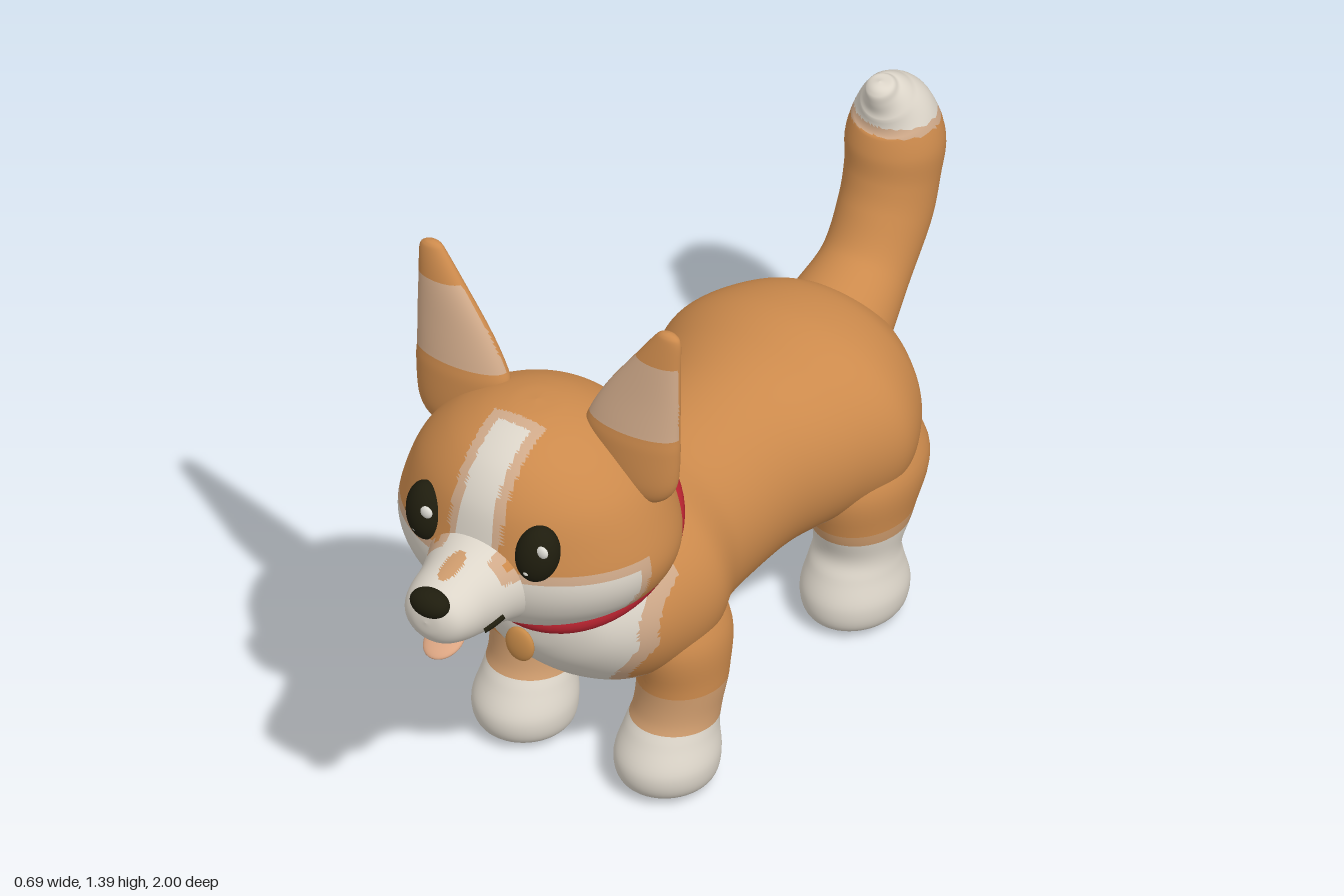
import * as THREE from 'three';

const mat = (name, color, side = THREE.FrontSide) => {
  const m = new THREE.MeshStandardMaterial({ color, side });
  m.name = name;
  return m;
};

const Y = new THREE.Vector3(0, 1, 0);
const Z = new THREE.Vector3(0, 0, 1);
const X = new THREE.Vector3(1, 0, 0);

// Smooth loft through elliptical sections [x, y, z, sideRadius, otherRadius].
// Rings face a fixed axis, or follow the path when axis is null.
function loft(sections, axis, rings, sides) {
  const centres = new THREE.CatmullRomCurve3(sections.map(s => new THREE.Vector3(s[0], s[1], s[2])), false, 'catmullrom');
  const radii = new THREE.CatmullRomCurve3(sections.map(s => new THREE.Vector3(s[3], s[4], 0)), false, 'catmullrom');
  const pos = [], index = [];
  for (let i = 0; i <= rings; i++) {
    const u = i / rings, c = centres.getPoint(u), r = radii.getPoint(u);
    const other = (axis || centres.getTangent(u)).clone().cross(X).normalize();
    for (let j = 0; j < sides; j++) {
      const a = j / sides * Math.PI * 2;
      const p = c.clone().addScaledVector(X, Math.max(r.x, 0) * Math.cos(a))
        .addScaledVector(other, Math.max(r.y, 0) * Math.sin(a));
      pos.push(p.x, p.y, p.z);
      if (i < rings) {
        const k = i * sides + j, n = i * sides + (j + 1) % sides;
        index.push(k, n, k + sides, n, n + sides, k + sides);
      }
    }
  }
  const g = new THREE.BufferGeometry();
  g.setAttribute('position', new THREE.Float32BufferAttribute(pos, 3));
  g.setIndex(index);
  g.computeVertexNormals();
  return g;
}

// Sort faces into material groups; rule(x, y, z) gives the material number.
function paint(g, count, rule) {
  const idx = g.index.array, p = g.attributes.position;
  const lists = Array.from({ length: count }, () => []);
  for (let i = 0; i < idx.length; i += 3) {
    const t = [idx[i], idx[i + 1], idx[i + 2]];
    const mid = f => (p[f](t[0]) + p[f](t[1]) + p[f](t[2])) / 3;
    lists[rule(mid('getX'), mid('getY'), mid('getZ'))].push(...t);
  }
  g.setIndex(lists.flat());
  let start = 0;
  lists.forEach((l, m) => {
    if (l.length) g.addGroup(start, l.length, m);
    start += l.length;
  });
  return g;
}

export function createModel() {
  const model = new THREE.Group();
  model.name = 'dog';
  const orange = mat('orange fur', 0xcc8a4c);
  const white = mat('white fur', 0xdcd5c9);
  const pale = mat('pale fur edge', 0xd0aa8a);
  const tan = mat('tan fur', 0xcc9a6c);
  const black = mat('black', 0x1f1d0e);
  const red = mat('red collar', 0xb3222e);
  const pink = mat('tongue', 0xdba582);
  const gold = mat('tag', 0xc78a48);
  const shine = mat('eye shine', 0xdedcd4);
  const fur = [orange, white, pale, tan];
  const edge = (d, w) => d < 0 ? 1 : d < w ? 2 : 0;

  const add = (name, geometry, material, parent = model) => {
    const m = new THREE.Mesh(geometry, material);
    m.name = name;
    parent.add(m);
    return m;
  };
  const ball = (name, material, c, r, parent) => {
    const m = add(name, new THREE.SphereGeometry(1, 32, 24), material, parent);
    m.position.set(...c);
    m.scale.set(...r);
    return m;
  };

  // Torso and neck share a white bib; the torso also has a white belly
  const bib = (x, y, z) => Math.max(Math.abs(x) - Math.min(0.22, 0.08 + Math.max(0, y - 0.27) * 0.7), 0.38 - z);
  const torso = loft([
    [0, 0.5, -0.745, 0, 0], [0, 0.495, -0.735, 0.07, 0.06], [0, 0.49, -0.71, 0.135, 0.12], [0, 0.485, -0.66, 0.205, 0.18],
    [0, 0.485, -0.58, 0.275, 0.235], [0, 0.49, -0.46, 0.322, 0.255], [0, 0.495, -0.33, 0.285, 0.243],
    [0, 0.495, -0.2, 0.243, 0.235], [0, 0.495, -0.05, 0.235, 0.232], [0, 0.497, 0.1, 0.245, 0.235],
    [0, 0.505, 0.24, 0.293, 0.25], [0, 0.505, 0.36, 0.275, 0.24], [0, 0.505, 0.45, 0.235, 0.19],
    [0, 0.505, 0.52, 0.165, 0.12], [0, 0.505, 0.552, 0.08, 0.06], [0, 0.505, 0.56, 0, 0],
  ], Z, 150, 108);
  add('torso', paint(torso, 4, (x, y, z) =>
    edge(Math.min(bib(x, y, z), Math.max(y - 0.31, -0.52 - z, Math.abs(x) - 0.22)), 0.028)), fur);
  add('neck', paint(loft([
    [0, 0.46, 0.27, 0.15, 0.15], [0, 0.54, 0.315, 0.235, 0.235], [0, 0.66, 0.385, 0.22, 0.225],
    [0, 0.75, 0.435, 0.225, 0.225], [0, 0.84, 0.48, 0.2, 0.2],
  ], null, 50, 80), 4, (x, y, z) => edge(bib(x, y, z), 0.028)), fur);

  // Legs: upper part flows into the body, rounded paws reach forward
  const front = [
    [0.185, 0, 0.3, 0, 0], [0.185, 0.004, 0.3, 0.06, 0.065], [0.186, 0.03, 0.302, 0.105, 0.112],
    [0.187, 0.085, 0.302, 0.117, 0.123], [0.187, 0.15, 0.285, 0.104, 0.108], [0.19, 0.2, 0.265, 0.097, 0.102],
    [0.193, 0.28, 0.25, 0.1, 0.112], [0.185, 0.4, 0.25, 0.105, 0.13], [0.16, 0.52, 0.25, 0.06, 0.08], [0.15, 0.56, 0.25, 0, 0],
  ];
  const hind = [
    [0.19, 0, -0.44, 0, 0], [0.19, 0.004, -0.44, 0.06, 0.07], [0.19, 0.03, -0.44, 0.105, 0.118],
    [0.19, 0.085, -0.442, 0.118, 0.13], [0.19, 0.15, -0.445, 0.104, 0.11], [0.192, 0.2, -0.45, 0.098, 0.098],
    [0.195, 0.28, -0.465, 0.11, 0.135], [0.19, 0.4, -0.485, 0.125, 0.17], [0.16, 0.52, -0.49, 0.08, 0.1], [0.14, 0.57, -0.49, 0, 0],
  ];
  const mirrored = (sections, s) => sections.map(([x, ...rest]) => [x * s, ...rest]);
  for (const [s, side] of [[1, 'left'], [-1, 'right']]) {
    add(side + 'FrontLeg', paint(loft(mirrored(front, s), Y, 60, 48), 4,
      (x, y) => y < 0.175 ? 1 : y < 0.27 ? 3 : 0), fur);
    add(side + 'HindLeg', paint(loft(mirrored(hind, s), Y, 60, 48), 4,
      (x, y) => y < 0.255 ? 1 : y < 0.28 ? 3 : 0), fur);
  }

  // Tail with a white tip
  add('tail', paint(loft([
    [0, 0.53, -0.56, 0.14, 0.14], [0, 0.59, -0.67, 0.125, 0.12], [0, 0.665, -0.775, 0.105, 0.1],
    [0, 0.77, -0.85, 0.106, 0.106], [0, 0.86, -0.88, 0.108, 0.105], [0, 0.945, -0.892, 0.113, 0.108],
    [0, 1.02, -0.885, 0.094, 0.09], [0, 1.07, -0.86, 0.064, 0.062], [0, 1.098, -0.84, 0.04, 0.042],
    [0, 1.12, -0.83, 0.03, 0.03], [0, 1.13, -0.828, 0, 0],
  ], null, 80, 48), 4, (x, y) => y > 1.02 ? 1 : y > 1.0 ? 2 : 0), fur);

  // Head with white lower face and blaze
  const head = new THREE.Group();
  head.name = 'head';
  model.add(head);
  const face = (x, y, z) => Math.min(
    Math.max(Math.abs(x) - 0.043, 0.63 - z, 0.78 - y),
    Math.max(y - 0.81, 0.6 - z));
  add('skull', paint(loft([
    [0, 0.575, 0.5, 0, 0], [0, 0.585, 0.5, 0.11, 0.13], [0, 0.615, 0.495, 0.19, 0.2], [0, 0.66, 0.51, 0.253, 0.24],
    [0, 0.72, 0.522, 0.305, 0.268], [0, 0.79, 0.527, 0.326, 0.28], [0, 0.88, 0.53, 0.307, 0.268],
    [0, 0.97, 0.532, 0.268, 0.246], [0, 1.04, 0.535, 0.205, 0.2], [0, 1.085, 0.54, 0.134, 0.135],
    [0, 1.108, 0.54, 0.065, 0.068], [0, 1.115, 0.54, 0, 0],
  ], Y, 130, 120), 4, (x, y, z) => edge(face(x, y, z), 0.025)), fur, head);

  // Snout with a small tan mark on the bridge
  add('snout', paint(loft([
    [0, 0.785, 0.66, 0.17, 0.13], [0, 0.785, 0.74, 0.15, 0.128], [0, 0.78, 0.8, 0.12, 0.112],
    [0, 0.775, 0.86, 0.1, 0.1], [0, 0.776, 0.92, 0.089, 0.083], [0, 0.777, 0.96, 0.071, 0.064],
    [0, 0.778, 0.98, 0.04, 0.036], [0, 0.778, 0.986, 0, 0],
  ], Z, 70, 72), 4, (x, y, z) => {
    if (y > 0.8 && (x / 0.022) ** 2 + ((z - 0.88) / 0.045) ** 2 < 1) return 3;
    return edge(Math.min(Math.abs(x) - 0.06, y - 0.82, 0.83 - z), 0.025);
  }), fur, head);
  ball('nose', black, [0, 0.822, 0.967], [0.049, 0.034, 0.033], head);
  ball('tongue', pink, [0, 0.687, 0.91], [0.045, 0.014, 0.056], head).rotation.x = 0.38;

  // Ears with pale inner panels
  const ear = [
    [0.26, 0.92, 0.495, 0, 0], [0.255, 0.935, 0.495, 0.05, 0.03], [0.232, 0.98, 0.494, 0.103, 0.049],
    [0.223, 1.07, 0.494, 0.12, 0.051], [0.228, 1.12, 0.493, 0.114, 0.046], [0.25, 1.2, 0.491, 0.093, 0.037],
    [0.284, 1.3, 0.489, 0.058, 0.027], [0.307, 1.365, 0.487, 0.035, 0.018], [0.31, 1.384, 0.486, 0.021, 0.012], [0.31, 1.39, 0.486, 0, 0],
  ];
  for (const [s, side] of [[1, 'left'], [-1, 'right']]) {
    add(side + 'Ear', paint(loft(mirrored(ear, s), Y, 70, 48), 4,
      (x, y, z) => y > 1.11 && y < 1.3 && z > 0.494 ? 2 : 0), fur, head);
    // Eye with two highlights
    const eye = ball(side + 'Eye', black, [0.147 * s, 0.888, 0.76], [0.05, 0.07, 0.042], head);
    eye.rotation.set(-0.1, 0.4 * s, -0.12 * s);
    ball(side + 'EyeShine', shine, [0.147 * s + 0.028, 0.917, 0.793 - 0.008 * s], [0.015, 0.015, 0.008], head);
    ball(side + 'EyeSmallShine', shine, [0.147 * s - 0.006, 0.855, 0.796 + 0.002 * s], [0.007, 0.007, 0.005], head);
    // Mouth corner
    const line = new THREE.CatmullRomCurve3([[0.083, 0.727, 0.882], [0.093, 0.733, 0.857], [0.103, 0.744, 0.832]]
      .map(([x, y, z]) => new THREE.Vector3(x * s, y, z)));
    add(side + 'MouthCorner', new THREE.TubeGeometry(line, 10, 0.008, 8), black, head);
  }

  // Collar and tag
  const collar = add('collar', new THREE.TorusGeometry(0.222, 0.024, 16, 64), red);
  collar.position.set(0, 0.662, 0.383);
  collar.rotation.x = -1.025;
  collar.scale.y = 1.04;
  ball('tag', gold, [0, 0.485, 0.608], [0.037, 0.044, 0.014]);

  return model;
}
